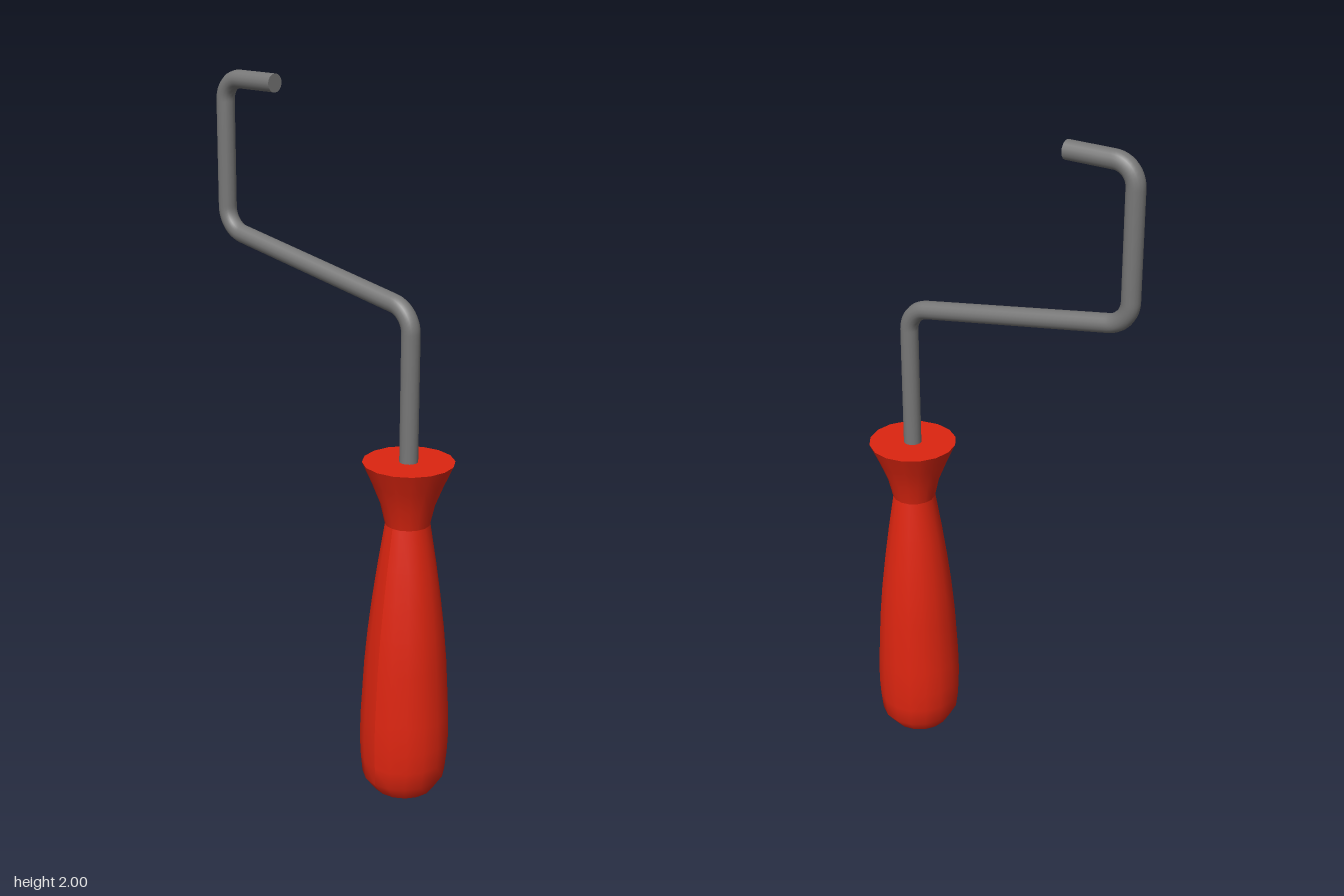
import * as THREE from 'three';

const AXIS_X = 0.302; // centre line of the grip
const ROD_R = 0.026;

// Path of straight runs joined by rounded bends
function bentPath(corners, setback) {
  const path = new THREE.CurvePath();
  const toward = (a, b, d) => a.clone().add(b.clone().sub(a).setLength(d));
  let from = corners[0];
  for (let i = 1; i < corners.length - 1; i++) {
    const c = corners[i];
    const start = toward(c, corners[i - 1], setback);
    const end = toward(c, corners[i + 1], setback);
    path.add(new THREE.LineCurve3(from, start));
    path.add(new THREE.CubicBezierCurve3(start, start.clone().lerp(c, 0.56), end.clone().lerp(c, 0.56), end));
    from = end;
  }
  path.add(new THREE.LineCurve3(from, corners[corners.length - 1]));
  return path;
}

export function createModel() {
  const model = new THREE.Group();
  const red = new THREE.MeshStandardMaterial({ color: 0xdd2510 });
  const steel = new THREE.MeshStandardMaterial({ color: 0x777777 });

  const add = (parent, name, geometry, material) => {
    const mesh = new THREE.Mesh(geometry, material);
    mesh.name = name;
    parent.add(mesh);
    return mesh;
  };

  // Grip: turned body with a waist and a flared collar
  const handle = new THREE.Group();
  handle.name = 'handle';
  handle.position.x = AXIS_X;
  model.add(handle);

  const sides = 16;
  const lathe = (pts) => new THREE.LatheGeometry(pts.map(([r, y]) => new THREE.Vector2(r, y)), sides);
  const body = lathe([
    [0.088, 0], [0.116, 0.045], [0.125, 0.1], [0.128, 0.16], [0.126, 0.24], [0.117, 0.4],
    [0.108, 0.5], [0.096, 0.6], [0.082, 0.7], [0.063, 0.82],
  ]);
  // The lower edge is fuller toward front and back
  const p = body.attributes.position;
  for (let i = 0; i < p.count; i++) {
    if (Math.abs(p.getY(i) - 0.045) < 0.001) p.setZ(i, p.getZ(i) * 1.06);
  }
  body.computeVertexNormals();
  add(handle, 'gripBody', body, red);
  add(handle, 'gripCollar', lathe([[0.063, 0.82], [0.077, 0.88], [0.101, 0.94], [0.128, 1]]), red);

  // Flat ends of the grip
  const top = add(handle, 'gripTop', new THREE.CircleGeometry(0.128, sides), red);
  top.rotation.x = -Math.PI / 2;
  top.position.y = 1;
  const bottom = add(handle, 'gripBottom', new THREE.CircleGeometry(0.088, sides), red);
  bottom.rotation.x = Math.PI / 2;

  // Bent wire frame with a flat end
  const corners = [
    [AXIS_X, 0.98], [AXIS_X, 1.422], [-0.404, 1.547], [-0.404, 1.974], [-0.204, 1.974],
  ].map(([x, y]) => new THREE.Vector3(x, y, 0));
  add(model, 'rod', new THREE.TubeGeometry(bentPath(corners, 0.062), 180, ROD_R, 16), steel);
  const tip = add(model, 'rodTip', new THREE.CircleGeometry(ROD_R, 16), steel);
  tip.rotation.y = Math.PI / 2;
  tip.position.copy(corners[4]);

  return model;
}
